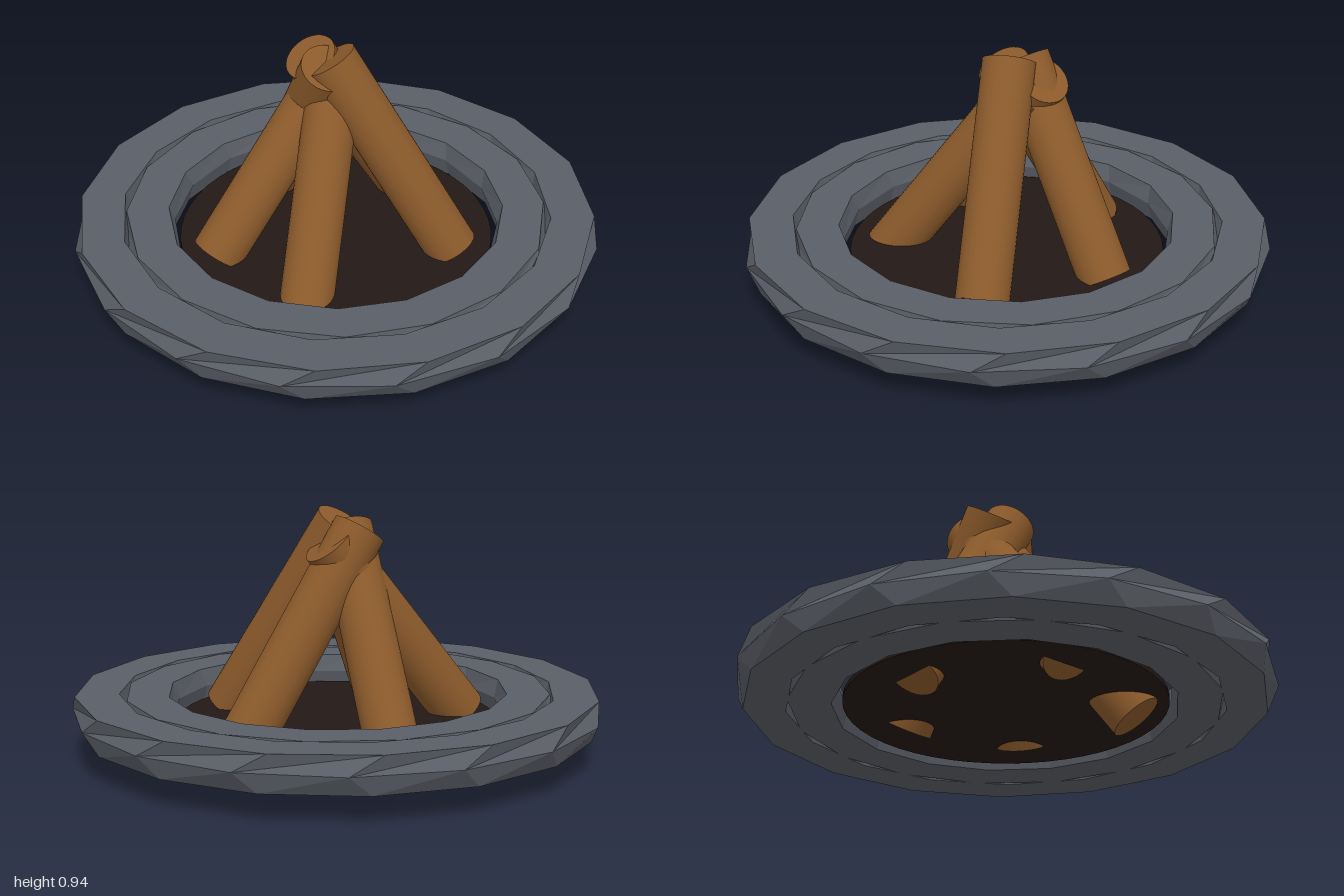
import * as THREE from 'three';

const stone = new THREE.MeshStandardMaterial({ color: 0x5a5e66, flatShading: true });
const ash = new THREE.MeshStandardMaterial({ color: 0x231816 });
const wood = new THREE.MeshStandardMaterial({ color: 0x8b5a2b });

const SIDES = 16;

// Closed faceted ring; profile points are [radius, y, twist], counter-clockwise
// with the radius pointing right and y up.
function facetedRing(name, profile, phase) {
  const n = profile.length;
  const positions = [];
  const indices = [];
  for (let i = 0; i < SIDES; i++) {
    for (const [r, y, twist] of profile) {
      const a = phase + twist + (i / SIDES) * Math.PI * 2;
      positions.push(r * Math.sin(a), y, r * Math.cos(a));
    }
  }
  for (let i = 0; i < SIDES; i++) {
    const next = (i + 1) % SIDES;
    for (let j = 0; j < n; j++) {
      const k = (j + 1) % n;
      const a = i * n + j, b = next * n + j, c = next * n + k, d = i * n + k;
      indices.push(a, b, c, a, c, d);
    }
  }
  const geometry = new THREE.BufferGeometry();
  geometry.setAttribute('position', new THREE.Float32BufferAttribute(positions, 3));
  geometry.setIndex(indices);
  const flat = geometry.toNonIndexed();
  flat.computeVertexNormals();
  const mesh = new THREE.Mesh(flat, stone);
  mesh.name = name;
  return mesh;
}

// Round log running between two end centres
function log(name, bottom, top) {
  const a = new THREE.Vector3(...bottom);
  const b = new THREE.Vector3(...top);
  const axis = b.clone().sub(a);
  const mesh = new THREE.Mesh(new THREE.CylinderGeometry(0.1, 0.1, axis.length(), 32), wood);
  mesh.position.copy(a).add(b).multiplyScalar(0.5);
  mesh.quaternion.setFromUnitVectors(new THREE.Vector3(0, 1, 0), axis.normalize());
  mesh.name = name;
  return mesh;
}

export function createModel() {
  const model = new THREE.Group();
  model.name = 'campfire';

  // Two nested stone rings with bevelled, slightly twisted edges
  model.add(facetedRing('outerStoneRing', [
    [0.81, 0.105, 0], [0.965, 0.105, 0.03], [1.0, 0.18, -0.05],
    [0.985, 0.248, 0.07], [0.82, 0.248, 0.04], [0.8, 0.18, 0],
  ], 0.0));
  model.add(facetedRing('innerStoneRing', [
    [0.64, 0.105, 0], [0.8, 0.105, 0.03], [0.82, 0.18, 0],
    [0.8, 0.246, 0.06], [0.64, 0.246, 0.03], [0.62, 0.18, 0],
  ], 0.12));

  // Ash bed inside the rings
  const bed = new THREE.Mesh(new THREE.CylinderGeometry(0.6, 0.6, 0.02, 48), ash);
  bed.position.y = 0.13;
  bed.name = 'ashBed';
  model.add(bed);

  // Five logs leaning together
  const logs = new THREE.Group();
  logs.name = 'logs';
  logs.add(
    log('backLog', [0.01, 0.12, -0.45], [-0.03, 0.86, -0.01]),
    log('leftLog', [0.43, 0.126, -0.11], [-0.035, 0.865, -0.11]),
    log('rightLog', [-0.455, 0.14, -0.14], [0.09, 0.82, -0.1]),
    log('frontLeftLog', [0.28, 0.14, 0.36], [-0.01, 0.885, -0.02]),
    log('frontRightLog', [-0.37, 0.06, 0.3], [0.03, 0.77, -0.05]),
  );
  model.add(logs);
  return model;
}
